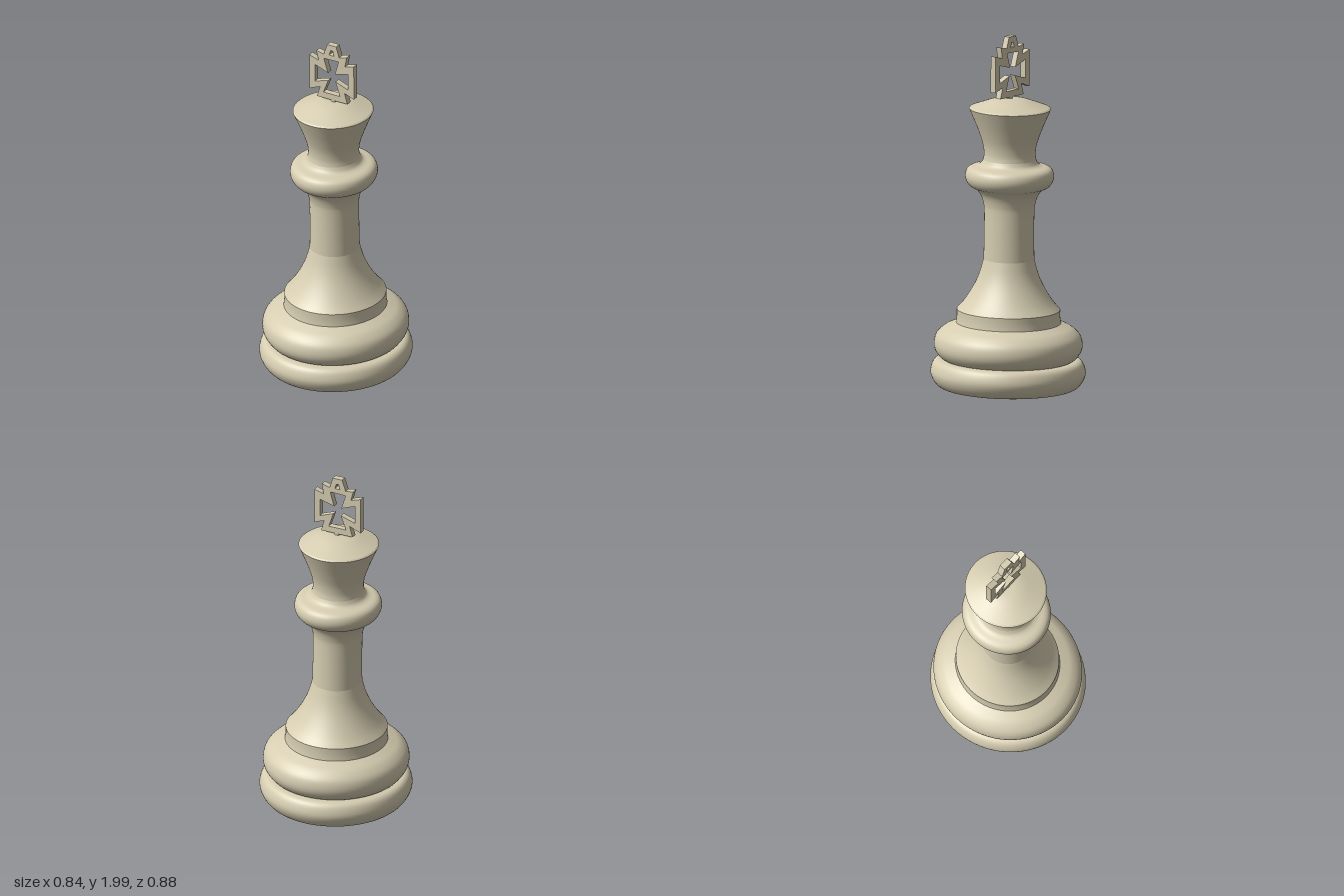
import * as THREE from 'three';

const ivory = new THREE.MeshStandardMaterial({ color: 0xd6cdb1, side: THREE.DoubleSide });
ivory.name = 'ivory';

// Smooth turned section through [radius, height] points, listed from bottom to top
function turned(name, points, steps = 24) {
  const curve = new THREE.SplineCurve(points.map(([r, y]) => new THREE.Vector2(r, y)));
  const profile = curve.getPoints(steps);
  profile.forEach((p) => { p.x = Math.max(p.x, 0); });
  const mesh = new THREE.Mesh(new THREE.LatheGeometry(profile, 72), ivory);
  mesh.name = name;
  return mesh;
}

const toPoints = (list) => list.map(([x, y]) => new THREE.Vector2(x, y));

export function createModel() {
  const model = new THREE.Group();
  model.name = 'chessKing';

  // Turned body: slightly oval, with a slight lean; hollow and open underneath
  const body = new THREE.Group();
  body.name = 'body';
  body.add(
    turned('lowerBaseRing', [[0.36, 0.008], [0.395, 0.017], [0.425, 0.05], [0.44, 0.095],
      [0.428, 0.142], [0.405, 0.165], [0.37, 0.17]]),
    turned('upperBaseRing', [[0.37, 0.17], [0.392, 0.185], [0.415, 0.22], [0.421, 0.26],
      [0.408, 0.305], [0.37, 0.342], [0.33, 0.362], [0.297, 0.376]]),
    turned('plinth', [[0.297, 0.376], [0.293, 0.41], [0.293, 0.45]], 4),
    turned('flaredFoot', [[0.293, 0.45], [0.258, 0.49], [0.22, 0.545], [0.187, 0.605],
      [0.163, 0.665], [0.144, 0.735]]),
    turned('stem', [[0.144, 0.735], [0.142, 0.85], [0.142, 1.0], [0.147, 1.05],
      [0.162, 1.095], [0.185, 1.127], [0.2, 1.138]]),
    turned('collar', [[0.2, 1.138], [0.225, 1.15], [0.245, 1.177], [0.252, 1.208],
      [0.243, 1.24], [0.22, 1.257], [0.185, 1.265], [0.163, 1.277], [0.15, 1.3]]),
    turned('crown', [[0.15, 1.3], [0.146, 1.335], [0.154, 1.39], [0.178, 1.46],
      [0.207, 1.53], [0.232, 1.587]]),
    turned('crownRim', [[0.232, 1.587], [0.223, 1.594]], 2),
    turned('crownCap', [[0.223, 1.594], [0.165, 1.615], [0.11, 1.634], [0.07, 1.643],
      [0.035, 1.646], [0, 1.646]]),
  );
  body.scale.x = 0.96;
  body.rotation.z = 0.012;
  body.position.y = 0.002;
  model.add(body);

  // Pierced cross finial: outer outline with a cross-shaped opening and a small eyelet
  const outline = new THREE.Shape(toPoints([
    [-0.048, 2.0], [0.01, 2.0], [0.03, 1.937], [0.078, 1.95], [0.067, 1.888], [0.124, 1.905],
    [0.125, 1.699], [0.064, 1.722], [0.083, 1.658], [-0.113, 1.658], [-0.094, 1.722],
    [-0.163, 1.694], [-0.163, 1.905], [-0.102, 1.885], [-0.118, 1.943], [-0.07, 1.934],
  ]));
  outline.holes.push(
    new THREE.Path(toPoints([
      [-0.07, 1.907], [0.026, 1.91], [0.002, 1.825], [0.088, 1.849], [0.088, 1.748],
      [0.006, 1.779], [0.035, 1.694], [-0.072, 1.694], [-0.04, 1.776], [-0.127, 1.748],
      [-0.127, 1.853], [-0.042, 1.822],
    ])),
    new THREE.Path(toPoints([[-0.026, 1.967], [-0.012, 1.967], [-0.003, 1.937], [-0.035, 1.937]])),
  );
  const crossGeometry = new THREE.ExtrudeGeometry(outline, { depth: 0.036, bevelEnabled: false });
  crossGeometry.translate(0, 0, -0.018);
  const cross = new THREE.Mesh(crossGeometry, ivory);
  cross.name = 'crossFinial';
  model.add(cross);

  // Short peg joining the cross to the crown
  const peg = new THREE.Mesh(new THREE.CylinderGeometry(0.018, 0.018, 0.03, 16), ivory);
  peg.name = 'crossPeg';
  peg.position.set(-0.012, 1.65, 0);
  model.add(peg);

  return model;
}
